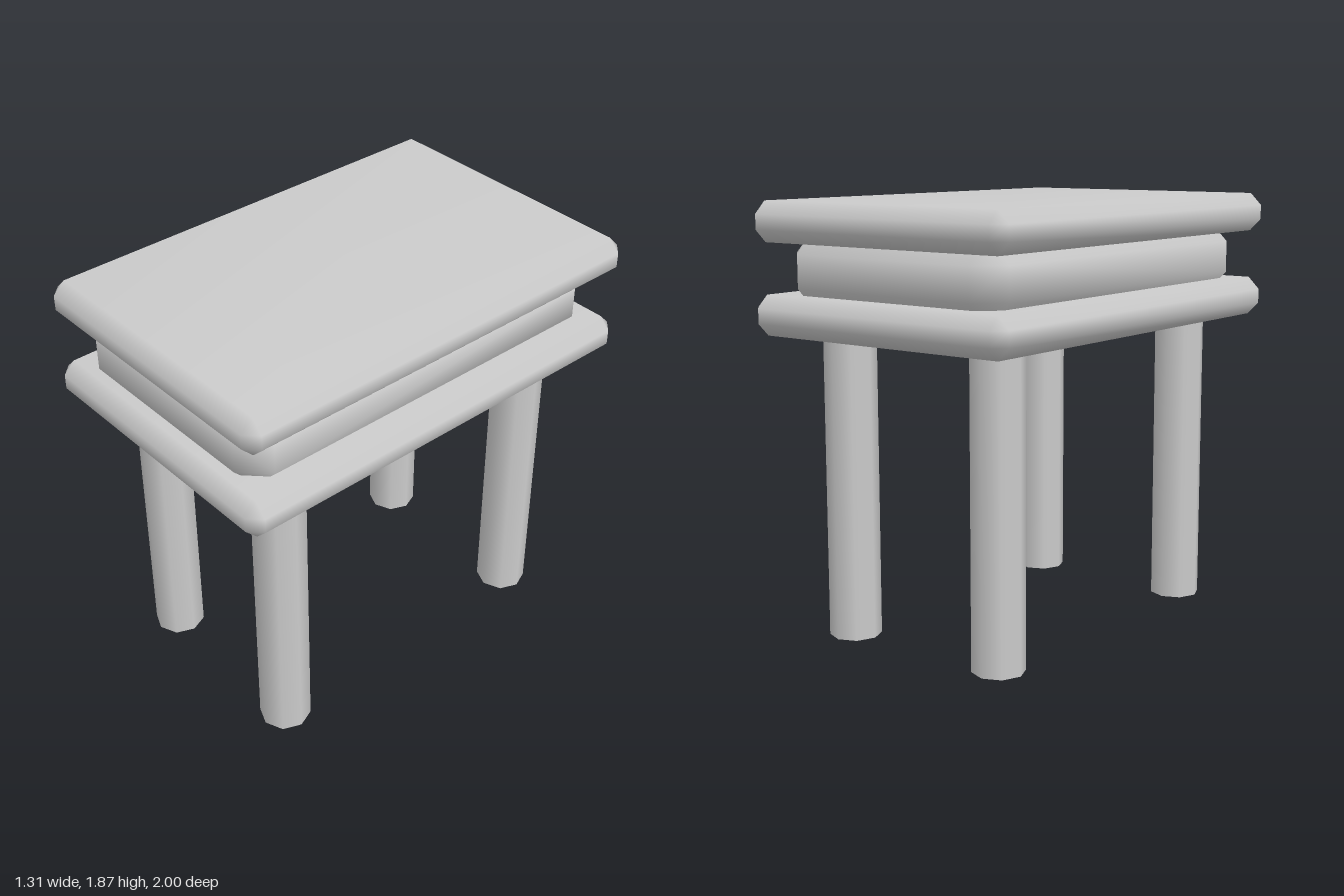
import * as THREE from 'three';
import { ConvexGeometry } from 'three/addons/geometries/ConvexGeometry.js';
import { mergeVertices } from 'three/addons/utils/BufferGeometryUtils.js';

const grey = new THREE.MeshStandardMaterial({ color: 0xcccccc });
const greyOpen = new THREE.MeshStandardMaterial({ color: 0xcccccc, side: THREE.DoubleSide });

// Box with every edge and corner cut by a single bevel, softly shaded
function beveledBox(name, w, h, d, bevel, y) {
  const [x, t, z] = [w / 2, h / 2, d / 2];
  const points = [];
  for (const sx of [-1, 1]) for (const sy of [-1, 1]) for (const sz of [-1, 1]) {
    points.push(
      new THREE.Vector3(sx * x, sy * (t - bevel), sz * (z - bevel)),
      new THREE.Vector3(sx * (x - bevel), sy * t, sz * (z - bevel)),
      new THREE.Vector3(sx * (x - bevel), sy * (t - bevel), sz * z)
    );
  }
  let geometry = new ConvexGeometry(points);
  geometry.deleteAttribute('normal');
  geometry = mergeVertices(geometry, 1e-4);
  geometry.computeVertexNormals();
  const mesh = new THREE.Mesh(geometry, grey);
  mesh.name = name;
  mesh.position.y = y;
  return mesh;
}

export function createModel() {
  const group = new THREE.Group();
  group.name = 'table';

  // Two matching slabs with a narrower core between them
  group.add(beveledBox('topSlab', 1.31, 0.17, 2, 0.053, 1.785));
  group.add(beveledBox('core', 1.11, 0.36, 1.85, 0.11, 1.585));
  group.add(beveledBox('lowerSlab', 1.31, 0.17, 2, 0.053, 1.4));

  // Four hollow legs, open at the foot
  const legHeight = 1.35;
  const legGeometry = new THREE.CylinderGeometry(0.112, 0.112, legHeight, 8, 1, true);
  for (const [side, sx] of [['Left', 1], ['Right', -1]]) {
    for (const [end, sz] of [['front', 1], ['back', -1]]) {
      const leg = new THREE.Mesh(legGeometry, greyOpen);
      leg.name = `${end}${side}Leg`;
      leg.position.set(sx * 0.393, legHeight / 2, sz * 0.68);
      group.add(leg);
    }
  }
  return group;
}
